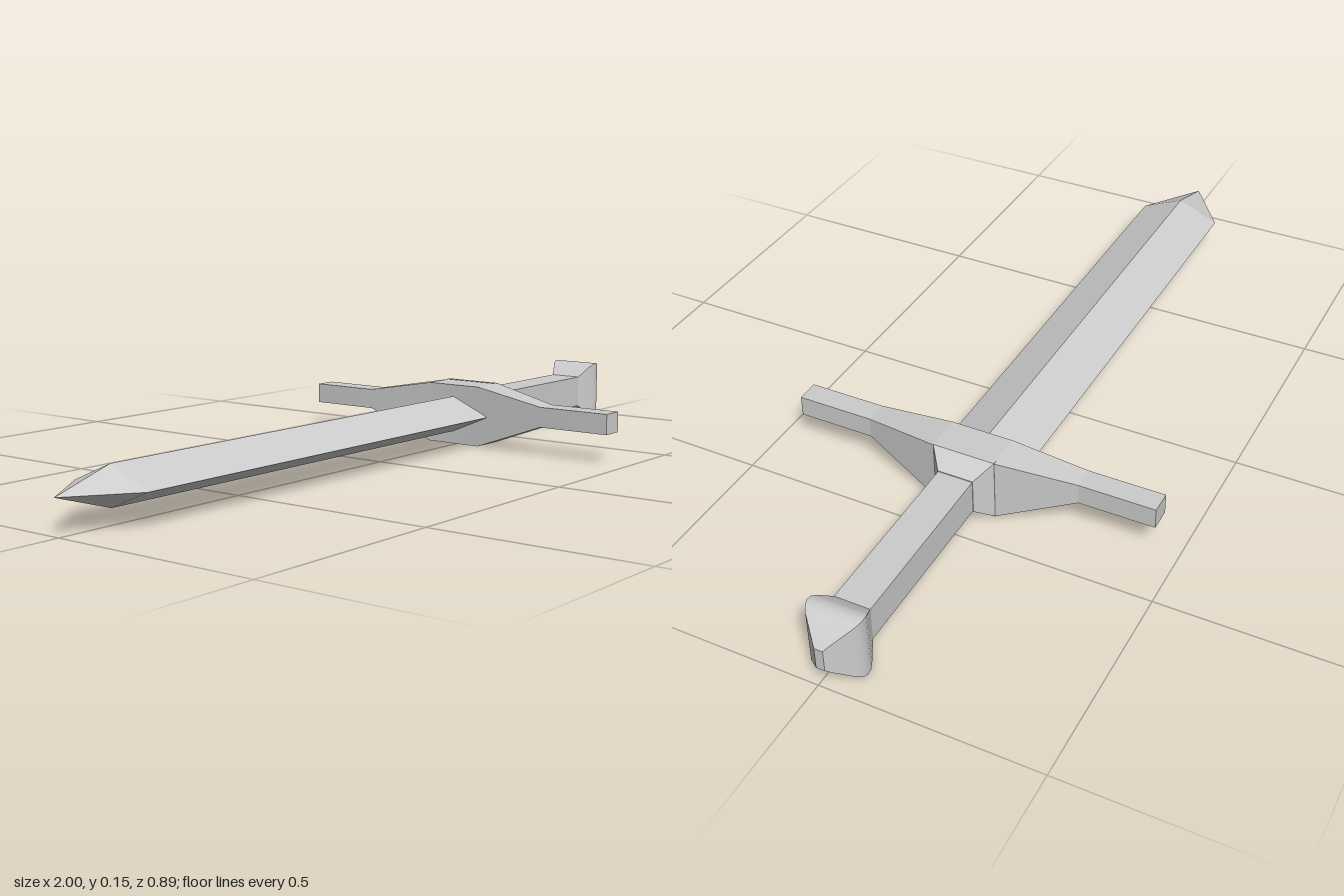
import * as THREE from 'three';
import { toCreasedNormals } from 'three/addons/utils/BufferGeometryUtils.js';

const MID_Y = 0.077, MID_Z = -0.01;

// Skins a list of closed rings (counter-clockwise seen from the last ring) and caps both ends.
function loft(name, rings, crease = 0.1) {
  const n = rings[0].length, last = (rings.length - 1) * n;
  const index = [];
  for (let j = 0; j < rings.length - 1; j++) {
    for (let i = 0; i < n; i++) {
      const a = j * n + i, b = j * n + (i + 1) % n;
      index.push(a, b, b + n, a, b + n, a + n);
    }
  }
  for (let i = 1; i < n - 1; i++) {
    index.push(0, i + 1, i, last, last + i, last + i + 1);
  }
  const geometry = new THREE.BufferGeometry();
  geometry.setAttribute('position', new THREE.Float32BufferAttribute(rings.flat(2), 3));
  geometry.setIndex(index);
  const mesh = new THREE.Mesh(
    toCreasedNormals(geometry, crease),
    new THREE.MeshStandardMaterial({ color: 0xcccccc })
  );
  mesh.name = name;
  return mesh;
}

// Sections across the length of the sword, by half height and half width
const rect = ([x, h, w]) => [[1, 1], [-1, 1], [-1, -1], [1, -1]]
  .map(([y, z]) => [x, MID_Y + y * h, MID_Z + z * w]);
const diamond = ([x, h, w]) => [[1, 0], [0, 1], [-1, 0], [0, -1]]
  .map(([y, z]) => [x, MID_Y + y * h, MID_Z + z * w]);

// Section across the guard, which runs along z
const guardRect = ([z, x0, x1, y0, y1]) =>
  [[x0, y0, z], [x1, y0, z], [x1, y1, z], [x0, y1, z]];

export function createModel() {
  const sword = new THREE.Group();
  sword.name = 'sword';

  // Diamond-section blade with a pointed tip
  sword.add(loft('blade', [[-1, 0, 0], [-0.855, 0.045, 0.105], [0.33, 0.045, 0.105]].map(diamond)));

  // Crossguard: slim arms swelling into a deep centre block
  sword.add(loft('crossguard', [
    [-0.445, 0.305, 0.36, 0.07, 0.12],
    [-0.264, 0.305, 0.36, 0.07, 0.12],
    [-0.083, 0.32, 0.41, 0, 0.152],
    [0.066, 0.32, 0.41, 0, 0.152],
    [0.26, 0.305, 0.36, 0.07, 0.12],
    [0.445, 0.305, 0.36, 0.07, 0.12],
  ].map(guardRect)));

  // Collar tapering from the guard to the grip
  sword.add(loft('collar', [[0.4, 0.076, 0.075], [0.41, 0.076, 0.075], [0.45, 0.043, 0.043]].map(rect)));

  // Square grip
  sword.add(loft('grip', [[0.44, 0.041, 0.042], [0.89, 0.041, 0.042]].map(rect)));

  // Four-sided pommel, rounded along its length
  sword.add(loft('pommel', [
    [0.874, 0.041, 0.042],
    [0.907, 0.067, 0.058],
    [0.92, 0.074, 0.063],
    [0.933, 0.076, 0.064],
    [0.945, 0.073, 0.061],
    [0.957, 0.066, 0.053],
    [0.99, 0.037, 0.02],
    [1, 0.027, 0.01],
  ].map(rect), 0.75));

  return sword;
}
